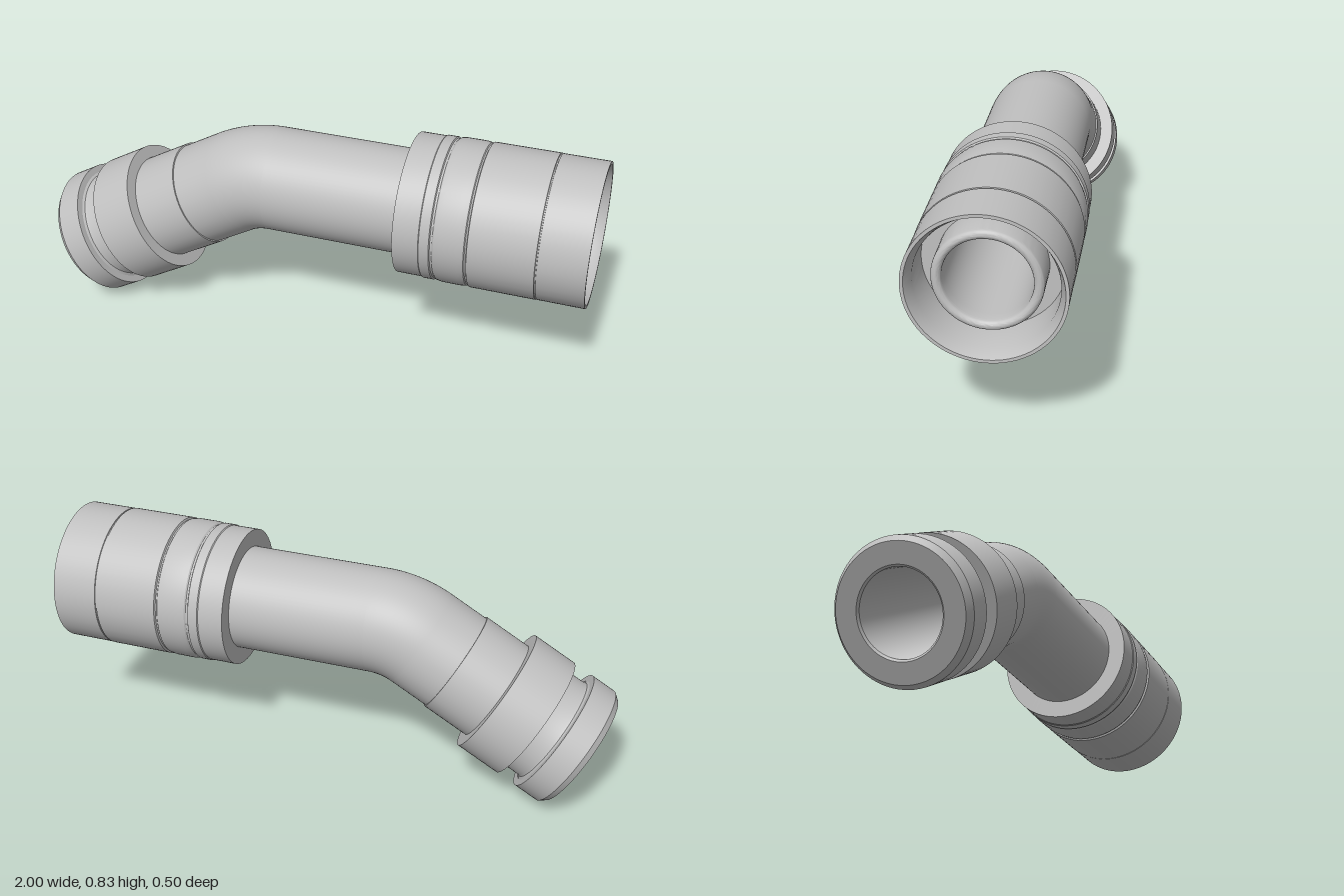
import * as THREE from 'three';
import { toCreasedNormals } from 'three/addons/utils/BufferGeometryUtils.js';

const SIDES = 80;
const AXIS_Y = 0.575;      // height of the straight pipe axis
const CORNER_X = -0.227;   // where the two pipe axes cross
const BEND = Math.PI / 6;
const BEND_R = 0.32;
const TANGENT = BEND_R * Math.tan(BEND / 2);
const PIPE = 0.185;
const BORE = 0.14;

export function createModel() {
  const model = new THREE.Group();
  model.name = 'pipeFitting';
  const metal = new THREE.MeshStandardMaterial({ color: 0xc0c0c0, side: THREE.DoubleSide });
  metal.name = 'light grey metal';

  const add = (parent, name, geometry) => {
    const mesh = new THREE.Mesh(geometry, metal);
    mesh.name = name;
    parent.add(mesh);
    return mesh;
  };
  // Turned part: profile is a list of [distance along axis, radius]
  const turned = (parent, name, profile) => add(parent, name, toCreasedNormals(
    new THREE.LatheGeometry(profile.map(([s, r]) => new THREE.Vector2(r, s)), SIDES), 0.45));

  // Straight arm, axis along +x from the corner of the elbow
  const arm = new THREE.Group();
  arm.name = 'straightArm';
  arm.position.set(CORNER_X, AXIS_Y, 0);
  arm.rotation.z = -Math.PI / 2;
  model.add(arm);
  const fromX = (points) => points.map(([x, r]) => [x - CORNER_X, r]);

  turned(arm, 'straightPipe', [[TANGENT, PIPE], [0.36 - CORNER_X, PIPE]]);

  // Coupling sleeve with fine grooves, a soft bulge and a recessed mouth
  turned(arm, 'couplingSleeve', fromX([
    [0.35, PIPE], [0.35, 0.247], [0.44, 0.247], [0.443, 0.25],
    [0.477, 0.25], [0.48, 0.245], [0.487, 0.245], [0.492, 0.249],
    [0.51, 0.252], [0.575, 0.252], [0.595, 0.249], [0.598, 0.245],
    [0.603, 0.245], [0.606, 0.252], [0.832, 0.252], [0.833, 0.248],
    [0.837, 0.248], [0.838, 0.251], [1, 0.251],
    [1, 0.24], [0.96, 0.222], [0.83, 0.222], [0.83, 0.17],
  ]));

  // Inner nozzle with a rounded lip, continuing into the bore
  const lip = [];
  for (let i = 0; i <= 10; i++) {
    const a = (i / 10) * Math.PI;
    lip.push([0.935 + 0.017 * Math.sin(a), 0.155 + 0.016 * Math.cos(a)]);
  }
  turned(arm, 'innerNozzle', fromX([[0.83, 0.171], ...lip, [0.9, BORE], [CORNER_X + TANGENT, BORE]]));

  // Elbow, outside and bore
  for (const [name, radius] of [['elbow', PIPE], ['elbowBore', BORE]]) {
    const bend = add(model, name, new THREE.TorusGeometry(BEND_R, radius, SIDES, 24, BEND));
    bend.position.set(CORNER_X + TANGENT, AXIS_Y - BEND_R, 0);
    bend.rotation.z = Math.PI / 2;
  }

  // Angled arm, axis pointing down and to the right of the model
  const leg = new THREE.Group();
  leg.name = 'angledArm';
  leg.position.set(CORNER_X, AXIS_Y, 0);
  leg.rotation.z = Math.PI / 2 + BEND;
  model.add(leg);

  turned(leg, 'angledPipe', [[TANGENT, PIPE], [0.229, PIPE], [0.229, 0.19], [0.41, 0.19]]);
  turned(leg, 'collar', [[0.405, 0.189], [0.405, 0.235], [0.57, 0.235], [0.57, 0.198]]);
  turned(leg, 'grooveNeck', [[0.57, 0.198], [0.636, 0.198], [0.645, 0.201], [0.65, 0.21]]);
  turned(leg, 'endFlange', [
    [0.65, 0.21], [0.65, 0.235], [0.742, 0.235], [0.765, 0.218],
    [0.765, 0.147], [0.758, BORE], [TANGENT, BORE],
  ]);

  return model;
}
